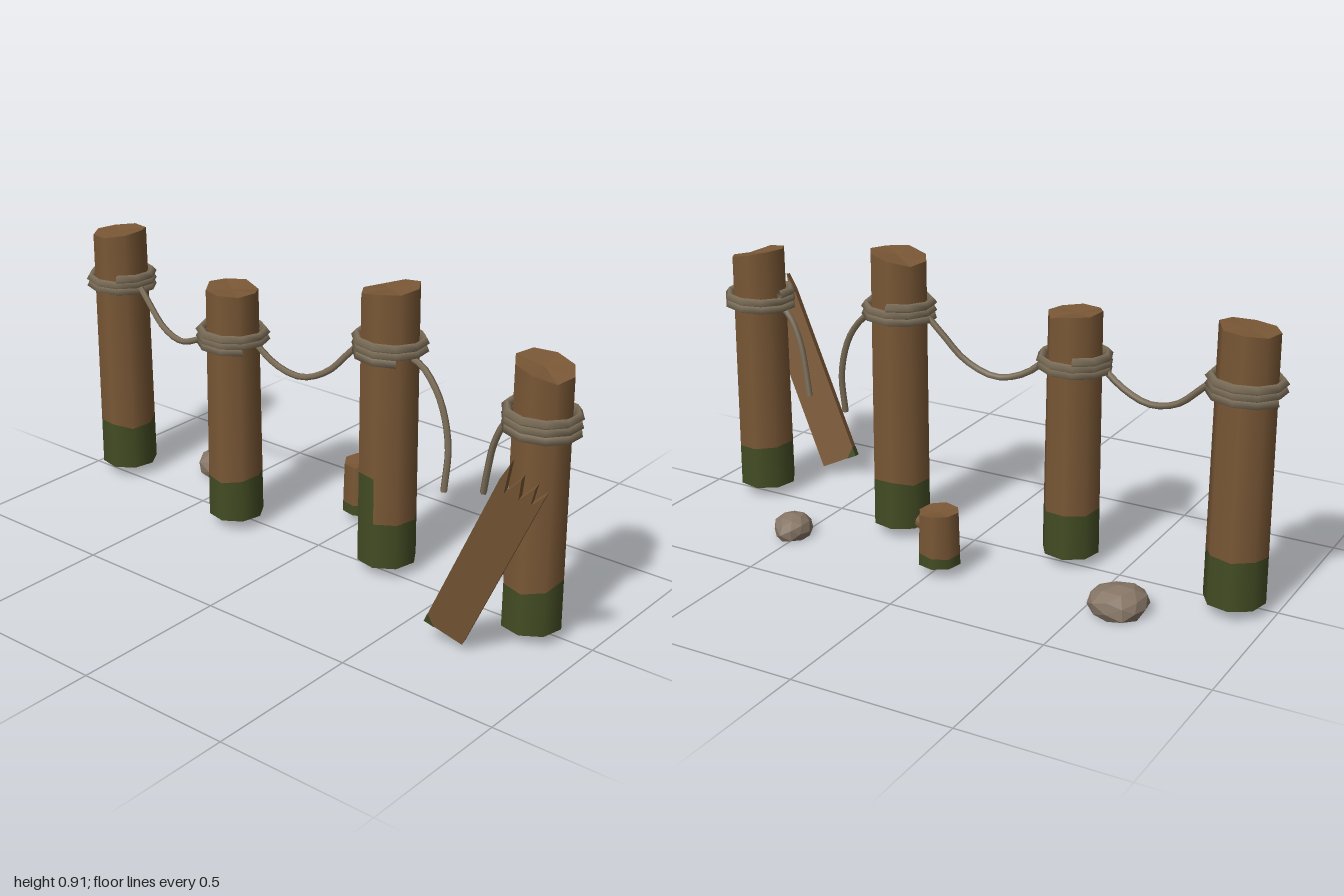
import * as THREE from 'three';

const mat = (name, color, double = true) => {
  const m = new THREE.MeshStandardMaterial({ color, side: double ? THREE.DoubleSide : THREE.FrontSide });
  m.name = name;
  return m;
};

export function createModel() {
  const model = new THREE.Group();
  model.name = 'ropeFence';
  const wood = mat('wood', 0x7a5836);
  const moss = mat('moss', 0x434d24);
  const rope = mat('rope', 0x7e705a);
  const rock = mat('rock', 0x867666, false);
  rock.flatShading = true;

  let seed = 7;
  const rand = () => (seed = (seed * 16807) % 2147483647) / 2147483647;
  const add = (parent, name, geo, m) => {
    const mesh = new THREE.Mesh(geo, m);
    mesh.name = name;
    parent.add(mesh);
    return mesh;
  };
  const fromTriangles = (pos, nor) => {
    const g = new THREE.BufferGeometry();
    g.setAttribute('position', new THREE.Float32BufferAttribute(pos, 3));
    if (nor) g.setAttribute('normal', new THREE.Float32BufferAttribute(nor, 3));
    else g.computeVertexNormals();
    return g;
  };

  // Hollow eight-sided log: mossy foot, wooden shaft and a rough broken top
  const SIDES = 8, FOOT = 0.035;
  function log(name, { x, z, r0, r1, top, slopeX, slopeZ = 0, mossY, highSides = [], highY = 0, rough = 0.012, turn = 10 }) {
    const group = new THREE.Group();
    group.name = name;
    group.position.set(x, 0, z);
    const angle = i => THREE.MathUtils.degToRad(turn + 45 * i);
    const tops = [], edges = [];
    for (let i = 0; i < SIDES; i++) {
      const a = angle(i);
      tops.push(top + slopeX * Math.sin(a) + slopeZ * Math.cos(a) + (rand() - 0.5) * rough);
      edges.push(mossY + (rand() - 0.5) * rough * 1.6);
    }
    const point = (i, y) => {
      const r = r0 + (r1 - r0) * (y - FOOT) / (top - FOOT), a = angle(i);
      return [r * Math.sin(a), y, r * Math.cos(a)];
    };
    const normal = i => [Math.sin(angle(i)), 0, Math.cos(angle(i))];
    const shaft = { p: [], n: [] }, foot = { p: [], n: [] }, cap = [];
    const quad = (out, i, a0, b0, a1, b1) => {
      const A = point(i, a0), B = point(i + 1, b0), C = point(i + 1, b1), D = point(i, a1);
      const na = normal(i), nb = normal(i + 1);
      out.p.push(...A, ...B, ...C, ...A, ...C, ...D);
      out.n.push(...na, ...nb, ...nb, ...na, ...nb, ...na);
    };
    for (let i = 0; i < SIDES; i++) {
      const j = (i + 1) % SIDES, high = highSides.includes(i);
      const ea = high ? highY : edges[i], eb = high ? highY : edges[j];
      quad(foot, i, FOOT, FOOT, ea, eb);
      quad(shaft, i, ea, eb, tops[i], tops[j]);
      cap.push(...point(i, tops[i]), ...point(j, tops[j]), 0, top - rough * 0.3, 0);
    }
    add(group, 'shaft', fromTriangles(shaft.p, shaft.n), wood);
    add(group, 'mossyFoot', fromTriangles(foot.p, foot.n), moss);
    add(group, 'brokenTop', fromTriangles(cap), wood);
    model.add(group);
    return group;
  }

  // Rope wound around a post, with a diamond section
  class Coil extends THREE.Curve {
    constructor(lo, hi, end, turns) { super(); Object.assign(this, { lo, hi, end, turns }); }
    getPoint(t, out = new THREE.Vector3()) {
      const a = this.end - (1 - t) * this.turns * Math.PI * 2;
      return out.set(0.101 * Math.sin(a), this.hi + (this.lo - this.hi) * t, 0.101 * Math.cos(a));
    }
  }

  const posts = [
    { x: -0.88, z: -0.04, r0: 0.092, r1: 0.087, top: 0.853, slopeX: 0.01, mossY: 0.185, coil: [0.662, 0.714], end: 4.4 },
    { x: -0.32, z: 0.03, r0: 0.089, r1: 0.083, top: 0.792, slopeX: -0.006, mossY: 0.175, coil: [0.618, 0.668], end: 1.0 },
    { x: 0.247, z: -0.03, r0: 0.094, r1: 0.09, top: 0.902, slopeX: 0.013, mossY: 0.185, highSides: [6, 7], highY: 0.33, coil: [0.705, 0.761], end: 0.8 },
    { x: 0.81, z: 0.025, r0: 0.092, r1: 0.087, top: 0.822, slopeX: -0.022, slopeZ: -0.006, rough: 0.02, mossY: 0.18, coil: [0.638, 0.697], end: 1.9 },
  ];
  posts.forEach((p, i) => {
    const post = log('post' + (i + 1), p);
    add(post, 'ropeCoil', new THREE.TubeGeometry(new Coil(...p.coil, p.end, 2.6), 26, 0.0155, 4), rope);
  });

  // Short stump with a branch stub
  const stump = log('stump', { x: -0.015, z: -0.243, r0: 0.067, r1: 0.062, top: 0.198, slopeX: -0.004, mossY: 0.07, rough: 0.01 });
  const stub = add(stump, 'branchStub', new THREE.CylinderGeometry(0.024, 0.034, 0.05, 7), wood);
  stub.rotation.z = -Math.PI / 2 + 0.25;
  stub.position.set(0.046, 0.15, 0);

  // Hanging ropes and the two snapped ends
  const ropes = {
    ropeSagLeft: [[-0.79, 0.69, -0.027], [-0.74, 0.645, -0.018], [-0.66, 0.578, -0.004], [-0.57, 0.557, 0.012], [-0.48, 0.585, 0.027], [-0.4, 0.64, 0.038]],
    ropeSagMiddle: [[-0.235, 0.635, 0.026], [-0.16, 0.578, 0.015], [-0.07, 0.556, 0.003], [0.03, 0.597, -0.009], [0.1, 0.667, -0.018], [0.165, 0.735, -0.026]],
    snappedRopeLong: [[0.32, 0.705, -0.032], [0.37, 0.69, -0.025], [0.44, 0.61, -0.015], [0.48, 0.48, -0.006], [0.482, 0.34, 0.012]],
    snappedRopeShort: [[0.74, 0.665, 0.022], [0.69, 0.62, 0.02], [0.65, 0.54, 0.014], [0.63, 0.46, 0.008], [0.612, 0.372, 0]],
  };
  for (const [name, pts] of Object.entries(ropes)) {
    const curve = new THREE.CatmullRomCurve3(pts.map(p => new THREE.Vector3(...p)));
    add(model, name, new THREE.TubeGeometry(curve, 14, 0.0105, 5), rope);
  }

  // Splintered plank leaning forward of the last post
  const plank = new THREE.Group();
  plank.name = 'brokenPlank';
  const outline = pts => new THREE.Shape(pts.map(p => new THREE.Vector2(...p)));
  const board = outline([[-0.063, 0], [0.063, 0], [0.063, 0.632], [0.04, 0.575], [0.03, 0.635],
    [0.006, 0.57], [-0.012, 0.635], [-0.035, 0.56], [-0.056, 0.66], [-0.063, 0.6]]);
  const boardGeo = new THREE.ExtrudeGeometry(board, { depth: 0.026, bevelEnabled: false });
  add(plank, 'board', boardGeo.translate(0, 0, -0.013), wood);
  const tipGeo = new THREE.ExtrudeGeometry(outline([[-0.0635, -0.001], [-0.03, -0.001], [-0.0635, 0.03]]), { depth: 0.028, bevelEnabled: false });
  add(plank, 'mossyCorner', tipGeo.translate(0, 0, -0.014), moss);
  const along = new THREE.Vector3(0.275, 0.565, 0.05).normalize();
  const facing = new THREE.Vector3(0.115, -0.045, -0.03).cross(along).normalize();
  const across = along.clone().cross(facing);
  plank.setRotationFromMatrix(new THREE.Matrix4().makeBasis(across, along, facing));
  plank.position.set(0.663, 0.05, 0.243);
  model.add(plank);

  // Faceted stones with flat undersides
  function stone(name, x, z, w, h, d, phase) {
    const g = new THREE.IcosahedronGeometry(1, 1), p = g.attributes.position;
    for (let i = 0; i < p.count; i++) {
      const [a, b, c] = [p.getX(i), p.getY(i), p.getZ(i)];
      const k = 0.94 + 0.08 * Math.sin(3 * a + phase) * Math.cos(2.5 * c + 2 * b + phase);
      p.setXYZ(i, a * k * w / 2, Math.max(0, (b * k + 0.45) / 1.42) * h, c * k * d / 2);
    }
    g.computeVertexNormals();
    add(model, name, g, rock).position.set(x, 0, z);
  }
  stone('largeStone', -0.595, -0.218, 0.195, 0.09, 0.19, 0.6);
  stone('smallStone', 0.52, -0.245, 0.125, 0.077, 0.145, 2.3);

  return model;
}
